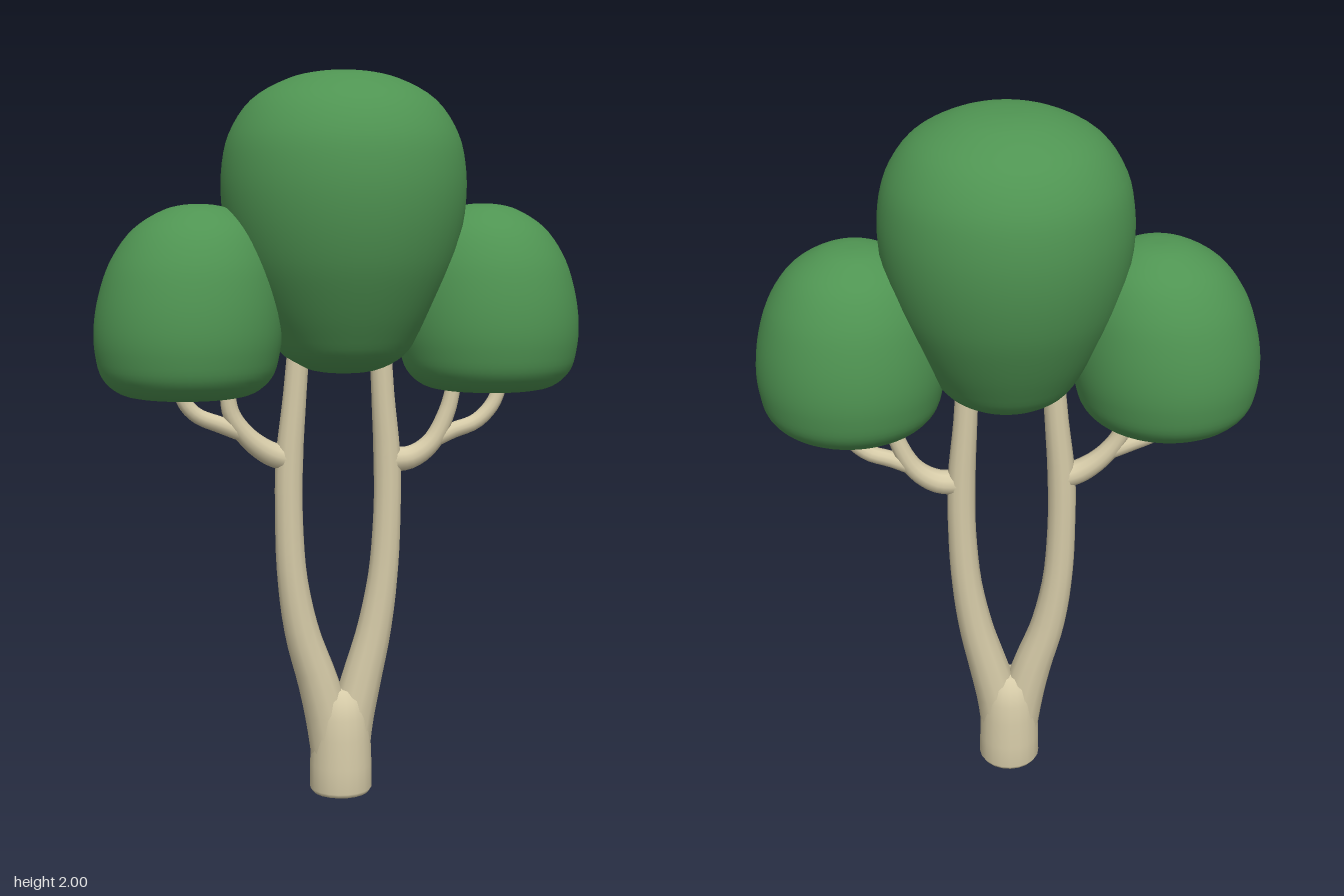
import * as THREE from 'three';
import { mergeVertices } from 'three/addons/utils/BufferGeometryUtils.js';

const bark = new THREE.MeshStandardMaterial({ color: 0xd6cba8 });
bark.name = 'bark';
const leaves = new THREE.MeshStandardMaterial({ color: 0x4f9452 });
leaves.name = 'leaves';

const spline = (pts) => new THREE.CatmullRomCurve3(pts.map(([x, y]) => new THREE.Vector3(x, y, 0)));

function part(name, geometry, material) {
  const mesh = new THREE.Mesh(geometry, material);
  mesh.name = name;
  return mesh;
}

// Rounded crown: smooth turned profile of [radius, y], leaning sideways with height
function crown(name, profile, x, lean = 0, depth = 1) {
  const pts = spline(profile).getPoints(48).map((p) => new THREE.Vector2(Math.max(0, p.x), p.y));
  pts[0].x = pts[pts.length - 1].x = 0;
  let geo = new THREE.LatheGeometry(pts, 48);
  geo.deleteAttribute('uv');
  geo.deleteAttribute('normal');
  geo = mergeVertices(geo);
  const pos = geo.attributes.position;
  const y0 = profile[0][1], y1 = profile[profile.length - 1][1];
  for (let i = 0; i < pos.count; i++) {
    const t = (pos.getY(i) - y0) / (y1 - y0);
    pos.setX(i, pos.getX(i) + x + lean * t * t);
    pos.setZ(i, pos.getZ(i) * depth);
  }
  geo.computeVertexNormals();
  return part(name, geo, leaves);
}

// Tapered limb: tube through [x, y, radius] points
function limb(name, points, steps = 28, sides = 12) {
  const curve = spline(points);
  const geo = new THREE.TubeGeometry(curve, steps, 1, sides, false);
  const pos = geo.attributes.position;
  const v = new THREE.Vector3();
  for (let i = 0; i <= steps; i++) {
    const u = curve.getUtoTmapping(i / steps);
    const c = curve.getPoint(u);
    const f = u * (points.length - 1);
    const k = Math.min(Math.floor(f), points.length - 2);
    const r = THREE.MathUtils.lerp(points[k][2], points[k + 1][2], f - k);
    for (let j = 0; j <= sides; j++) {
      const n = i * (sides + 1) + j;
      v.fromBufferAttribute(pos, n).sub(c).multiplyScalar(r).add(c);
      pos.setXYZ(n, v.x, v.y, v.z);
    }
  }
  return part(name, geo, bark);
}

export function createModel() {
  const tree = new THREE.Group();
  tree.name = 'tree';

  // Trunk base with a flat underside
  const trunk = [[0, 0], [0.08, 0], [0.088, 0.012], [0.087, 0.08], [0.084, 0.16], [0.079, 0.22],
    [0.066, 0.27], [0.04, 0.295], [0, 0.3]].map(([x, y]) => new THREE.Vector2(x, y));
  tree.add(part('trunkBase', new THREE.LatheGeometry(trunk, 20), bark));

  // Two forked trunks
  tree.add(limb('rightTrunk', [[-0.018, 0.1, 0.066], [-0.035, 0.2, 0.064], [-0.066, 0.32, 0.057],
    [-0.11, 0.46, 0.049], [-0.138, 0.62, 0.042], [-0.147, 0.8, 0.039], [-0.145, 0.95, 0.039],
    [-0.13, 1.12, 0.033], [-0.115, 1.3, 0.03]]));
  tree.add(limb('leftTrunk', [[0.016, 0.1, 0.066], [0.03, 0.2, 0.064], [0.06, 0.32, 0.057],
    [0.096, 0.46, 0.049], [0.122, 0.62, 0.042], [0.133, 0.8, 0.039], [0.132, 0.95, 0.039],
    [0.12, 1.12, 0.033], [0.11, 1.3, 0.03]]));

  // Side branches, each splitting into two twigs
  tree.add(limb('rightBranch', [[-0.14, 0.95, 0.036], [-0.2, 0.97, 0.033], [-0.26, 1.015, 0.028],
    [-0.305, 1.08, 0.024], [-0.318, 1.17, 0.02]], 20));
  tree.add(limb('rightTwig', [[-0.26, 1.02, 0.022], [-0.33, 1.05, 0.023], [-0.4, 1.08, 0.021],
    [-0.435, 1.12, 0.02], [-0.445, 1.17, 0.018]], 16));
  tree.add(limb('leftBranch', [[0.13, 0.94, 0.036], [0.2, 0.945, 0.033], [0.26, 0.985, 0.028],
    [0.305, 1.07, 0.024], [0.33, 1.17, 0.02]], 20));
  tree.add(limb('leftTwig', [[0.255, 0.985, 0.022], [0.32, 1.015, 0.023], [0.39, 1.04, 0.022],
    [0.44, 1.09, 0.021], [0.47, 1.17, 0.018]], 16));

  // Tall middle crown
  tree.add(crown('middleCrown', [[0, 1.188], [0.09, 1.195], [0.165, 1.235], [0.21, 1.3], [0.262, 1.4],
    [0.302, 1.5], [0.328, 1.62], [0.331, 1.73], [0.31, 1.83], [0.25, 1.92], [0.15, 1.977],
    [0.07, 1.996], [0, 2]], 0.008));

  // Lower crowns at each side
  const side = [[0, 1.13], [0.1, 1.131], [0.18, 1.143], [0.228, 1.185], [0.247, 1.25], [0.252, 1.32],
    [0.242, 1.41], [0.216, 1.5], [0.165, 1.58], [0.09, 1.63], [0.04, 1.643], [0, 1.645]];
  tree.add(crown('rightCrown', side, -0.424, 0.035));
  tree.add(crown('leftCrown', side, 0.424, -0.02));

  return tree;
}
